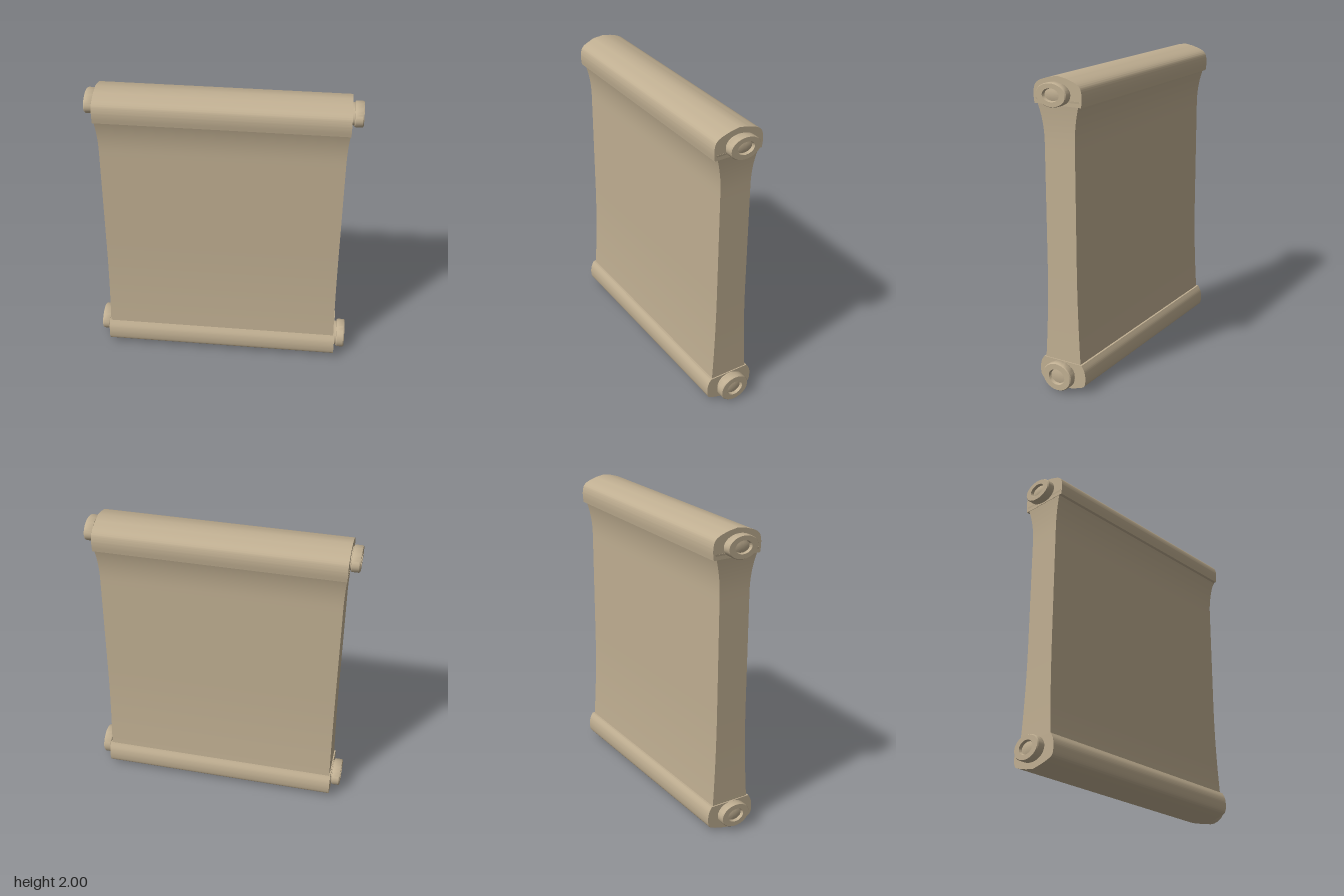
import * as THREE from 'three';
import { toCreasedNormals } from 'three/addons/utils/BufferGeometryUtils.js';

const parchment = new THREE.MeshStandardMaterial({ color: 0xbfae91 });
parchment.name = 'parchment';

function part(name, geometry) {
  const mesh = new THREE.Mesh(geometry, parchment);
  mesh.name = name;
  return mesh;
}

// Thick sheet: flares towards both rollers, edges bow in slightly
function sheet() {
  const y0 = 0.15, y1 = 1.86;
  const geo = new THREE.BoxGeometry(2, y1 - y0, 2, 1, 48, 1);
  geo.translate(0, (y0 + y1) / 2, 0);
  const p = geo.attributes.position;
  for (let i = 0; i < p.count; i++) {
    const y = p.getY(i);
    const top = Math.max(0, (y - 1.58) / 0.24);
    const low = Math.max(0, (0.85 - y) / 0.66);
    const halfDepth = 0.108 + 0.034 * top ** 2.2 + 0.022 * low ** 2;
    const halfWidth = 0.785 + 0.012 * top ** 2 + 0.007 * low ** 2;
    p.setXYZ(i, p.getX(i) * halfWidth - 0.004, y, p.getZ(i) * halfDepth);
  }
  geo.computeVertexNormals();
  return part('sheet', geo);
}

// Roller: half outline (z, y) from the flat inner side to the ridge, mirrored
function roller(name, flatY, outline, ridgeY) {
  const pts = outline.map(([z, y]) => new THREE.Vector2(z, y));
  const last = pts[pts.length - 1];
  const shape = new THREE.Shape();
  shape.moveTo(-pts[0].x, flatY);
  shape.lineTo(pts[0].x, flatY);
  shape.splineThru(pts.slice(1));
  shape.lineTo(0, ridgeY);
  shape.lineTo(-last.x, last.y);
  const back = pts.slice(0, -1).reverse().map((v) => new THREE.Vector2(-v.x, v.y));
  shape.splineThru(back);
  const length = 1.6;
  const geo = new THREE.ExtrudeGeometry(shape, { depth: length, bevelEnabled: false, curveSegments: 8 });
  geo.translate(0, 0, -length / 2);
  geo.rotateY(Math.PI / 2);
  geo.translate(-0.004, 0, 0);
  return part(name, toCreasedNormals(geo, 0.42));
}

// Oval end knob with a neck and a recessed centre
function knob(name, side, y, ry, rz) {
  const profile = [
    [0.86, -0.02], [0.86, 0.012], [0.96, 0.014], [1, 0.02], [1, 0.062],
    [0.95, 0.069], [0.56, 0.069], [0.5, 0.05], [0.3, 0.054], [0, 0.056],
  ].map(([r, h]) => new THREE.Vector2(r, h));
  const geo = new THREE.LatheGeometry(profile, 40);
  geo.rotateZ(-side * Math.PI / 2);
  geo.scale(1, ry, rz);
  geo.translate(side * 0.798, y, 0);
  return part(name, toCreasedNormals(geo, 0.6));
}

export function createModel() {
  const model = new THREE.Group();
  model.name = 'scroll';
  model.add(sheet());
  model.add(roller('topRoller', 1.825,
    [[0.165, 1.825], [0.17, 1.87], [0.168, 1.91], [0.155, 1.945], [0.12, 1.969], [0.06, 1.989]], 2));
  model.add(roller('bottomRoller', 0.188,
    [[0.143, 0.188], [0.163, 0.15], [0.17, 0.1], [0.16, 0.05], [0.12, 0.029], [0.06, 0.012]], 0));
  for (const [side, label] of [[1, 'left'], [-1, 'right']]) {
    model.add(knob(label + 'TopKnob', side, 1.897, 0.073, 0.107));
    model.add(knob(label + 'BottomKnob', side, side > 0 ? 0.105 : 0.117, side > 0 ? 0.093 : 0.08, 0.105));
  }
  return model;
}
